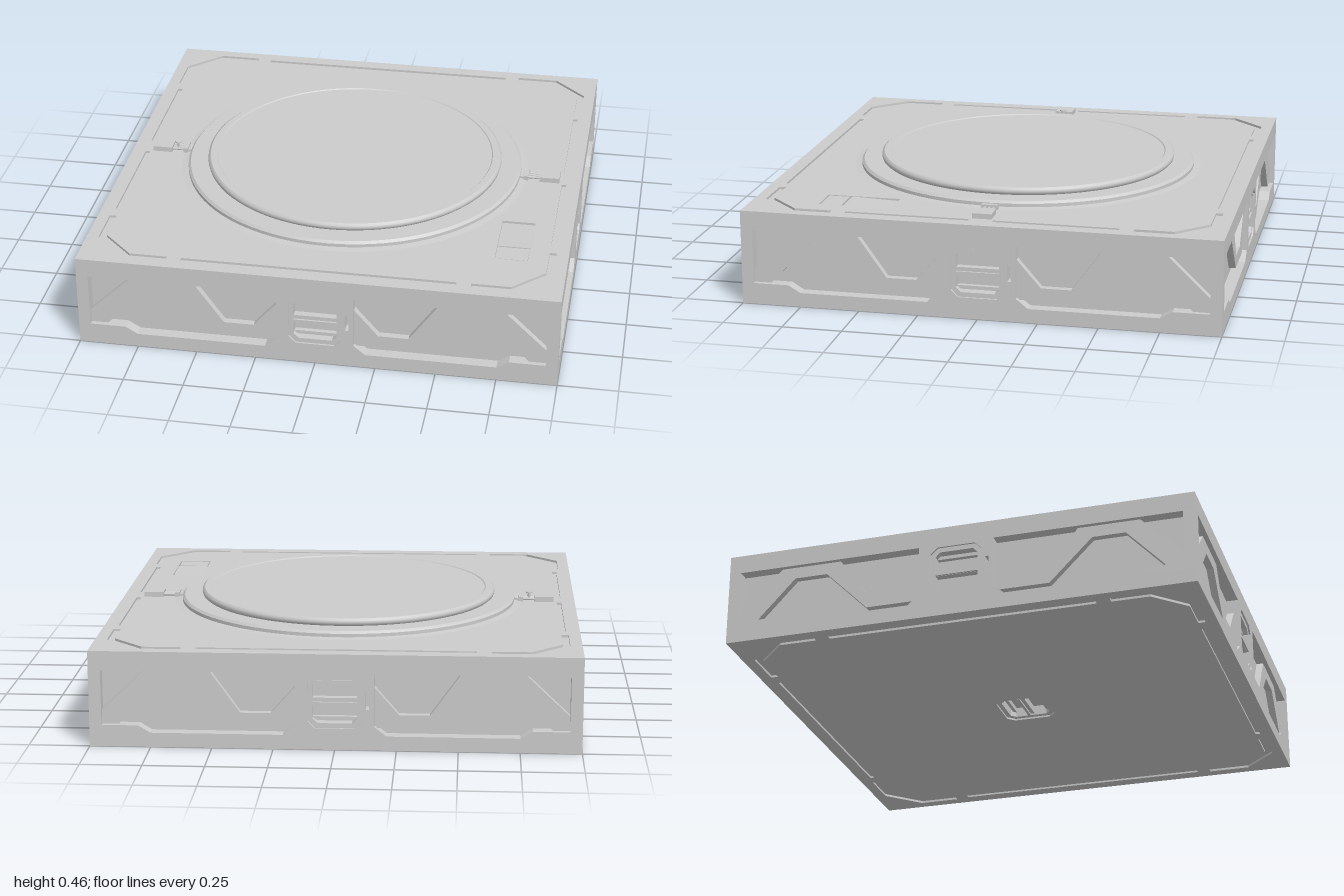
import * as THREE from 'three';

const grey = new THREE.MeshStandardMaterial({ color: 0xcccccc });
grey.name = 'light grey';

const path = (pts, Kind = THREE.Shape) => new Kind(pts.map(([x, y]) => new THREE.Vector2(x, y)));
const rect = (x0, y0, x1, y1) => [[x0, y0], [x1, y0], [x1, y1], [x0, y1]];
// square of half size h with cut corners
const octagon = (h, c, cy = 0) => [[-h, c - h], [c - h, -h], [h - c, -h], [h, c - h],
  [h, h - c], [h - c, h], [c - h, h], [-h, h - c]].map(([x, y]) => [x, y + cy]);

function add(parent, name, geometry, x = 0, y = 0, z = 0) {
  const m = new THREE.Mesh(geometry, grey);
  m.name = name;
  m.position.set(x, y, z);
  parent.add(m);
  return m;
}
const box = (parent, name, w, h, d, x, y, z) => add(parent, name, new THREE.BoxGeometry(w, h, d), x, y, z);

function plate(pts, holes, depth) {
  const s = path(pts);
  s.holes = holes.map(h => path(h, THREE.Path));
  return new THREE.ExtrudeGeometry(s, { depth, bevelEnabled: false });
}

// recessed latch; its opening lies at z = 0 and faces +z
function makeHatch() {
  const g = new THREE.Group();
  g.name = 'hatch';
  add(g, 'hatchRim', plate(octagon(0.11, 0.03), [octagon(0.09, 0.02)], 0.042), 0, 0, -0.05);
  box(g, 'hatchBar', 0.18, 0.03, 0.03, 0, 0, -0.03);
  box(g, 'hatchHandle', 0.18, 0.012, 0.04, 0, -0.008, -0.027);
  for (const s of [-1, 1]) box(g, 'hatchLip', 0.18, 0.015, 0.02, 0, s * 0.075, -0.04);
  return g;
}

// border grooves cut into the top and bottom skins
function grooves(gap) {
  const list = [];
  const corner = [[0.95, 0.63], [0.92, 0.63], [0.92, 0.79], [0.79, 0.92],
    [0.63, 0.92], [0.63, 0.95], [0.81, 0.95], [0.95, 0.81]];
  for (const s of [-1, 1]) {
    for (const t of [-1, 1]) {
      list.push(corner.map(([x, y]) => [x * s, y * t]));
      list.push(rect(s * 0.92, t * gap, s * 0.94, t * 0.57));
    }
    list.push(rect(-0.57, s * 0.92, 0.57, s * 0.94));
  }
  return list;
}

function makeSide() {
  const g = new THREE.Group();
  g.name = 'side';
  // centre block with latch and slot
  const slot = rect(0.125, 0.17, 0.14, 0.24);
  add(g, 'centreBlock', plate(rect(-0.16, 0.06, 0.16, 0.32), [octagon(0.11, 0.03, 0.2), slot], 0.05), 0, 0, 0.95);
  const hatch = makeHatch();
  hatch.position.set(0, 0.2, 1);
  g.add(hatch);
  // zigzag brace and lower rail ends, mirrored
  const brace = [[0.16, 0.09], [0.39, 0.09], [0.57, 0.27], [0.71, 0.27], [0.88, 0.09], [0.96, 0.09],
    [0.96, 0.14], [0.77, 0.32], [0.51, 0.32], [0.385, 0.145], [0.26, 0.145], [0.16, 0.26]];
  const outer = [[0.75, 0.06], [0.95, 0.06], [0.95, 0.09], [0.8, 0.09]];
  const inner = [[0.16, 0.06], [0.21, 0.06], [0.16, 0.1]];
  for (const s of [-1, 1]) {
    const flip = pts => pts.map(([x, y]) => [x * s, y]);
    add(g, 'brace', plate(flip(brace), [], 0.03), 0, 0, 0.95);
    add(g, 'lowerRailEnd', plate(flip(outer), [], 0.05), 0, 0, 0.95);
    add(g, 'lowerGusset', plate(flip(inner), [], 0.05), 0, 0, 0.95);
  }
  return g;
}

function makeConnector() {
  const g = new THREE.Group();
  g.name = 'connector';
  box(g, 'plug', 0.085, 0.022, 0.08, 0.865, 0.411, 0);
  box(g, 'clamp', 0.02, 0.02, 0.07, 0.762, 0.41, 0);
  box(g, 'clampBase', 0.04, 0.012, 0.05, 0.745, 0.406, 0);
  for (const z of [-0.018, 0, 0.018]) {
    const wire = add(g, 'wire', new THREE.CylinderGeometry(0.006, 0.006, 0.1, 8), 0.79, 0.408, z);
    wire.rotation.z = Math.PI / 2;
  }
  return g;
}

export function createModel() {
  const model = new THREE.Group();
  model.name = 'landingPad';
  const square = rect(-1, -1, 1, 1);

  // core and corner posts
  box(model, 'core', 1.9, 0.26, 1.9, 0, 0.19, 0);
  for (const x of [-1, 1]) for (const z of [-1, 1])
    box(model, 'cornerPost', 0.05, 0.26, 0.05, x * 0.975, 0.19, z * 0.975);

  // top slab with grooved skin and a sunken access panel
  box(model, 'topSlab', 2, 0.07, 2, 0, 0.355, 0);
  const topSkin = plate(square, [...grooves(0.05), rect(0.7, -0.71, 0.84, -0.4)], 0.01);
  add(model, 'topSkin', topSkin.rotateX(-Math.PI / 2), 0, 0.39, 0);
  box(model, 'accessPlate', 0.13, 0.008, 0.09, 0.77, 0.394, 0.66);
  const ramp = add(model, 'accessRamp', new THREE.BoxGeometry(0.138, 0.004, 0.2), 0.77, 0.393, 0.505);
  ramp.rotation.x = -0.035;

  // bottom slab with grooved skin and central latch
  const opening = octagon(0.11, 0.03);
  const slab = plate(square, [opening], 0.05).rotateX(Math.PI / 2);
  add(model, 'bottomSlab', slab, 0, 0.06, 0);
  const skin = plate(square, [...grooves(0), opening].filter(Boolean), 0.01).rotateX(Math.PI / 2);
  add(model, 'bottomSkin', skin, 0, 0.01, 0);
  const under = makeHatch();
  under.rotation.x = Math.PI / 2;
  model.add(under);

  // four matching sides
  for (let i = 0; i < 4; i++) {
    const side = makeSide();
    side.rotation.y = i * Math.PI / 2;
    model.add(side);
  }

  // round platform: outer ring and raised disc
  const lathe = pts => {
    const geometry = new THREE.LatheGeometry(pts.map(([x, y]) => new THREE.Vector2(x, y)), 96);
    return geometry;
  };
  const profiles = {
    ringSkirt: [[0.765, 0.4], [0.735, 0.404]],
    ringWall: [[0.735, 0.4], [0.735, 0.418]],
    ringBevel: [[0.735, 0.418], [0.725, 0.428]],
    ringTop: [[0.725, 0.428], [0.64, 0.428]],
    discWall: [[0.638, 0.428], [0.645, 0.434], [0.647, 0.443], [0.645, 0.453], [0.636, 0.46]],
    discRim: [[0.636, 0.46], [0.608, 0.46]],
    discStep: [[0.608, 0.46], [0.604, 0.456]],
    discTop: [[0.604, 0.456], [0, 0.456]],
  };
  for (const [name, pts] of Object.entries(profiles)) add(model, name, lathe(pts));

  // connectors on both sides of the ring
  for (const turn of [0, Math.PI]) {
    const c = makeConnector();
    c.rotation.y = turn;
    model.add(c);
  }
  // small valve on the right connector
  add(model, 'valveStem', new THREE.CylinderGeometry(0.006, 0.006, 0.035, 8), -0.8, 0.417, 0);
  add(model, 'valveCap', new THREE.CylinderGeometry(0.014, 0.014, 0.005, 12), -0.8, 0.434, 0);
  return model;
}
